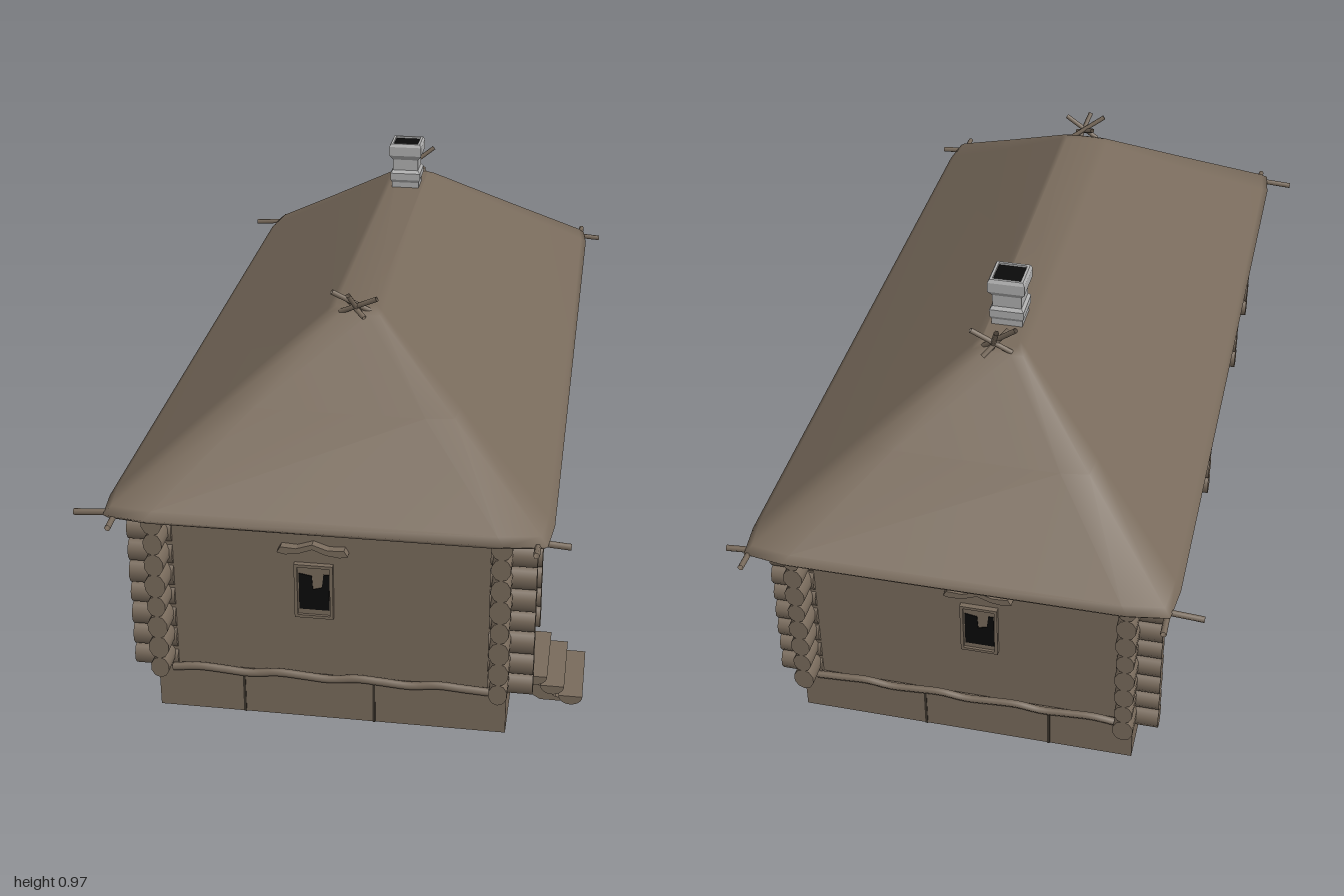
import * as THREE from 'three';

const CX = -0.008;      // house axis
const HX = 0.384, HZ = 0.868; // half size of the walls

export function createModel() {
  const house = new THREE.Group();
  house.name = 'logHouse';
  const mat = (name, color, side = THREE.FrontSide) => {
    const m = new THREE.MeshStandardMaterial({ color, side });
    m.name = name;
    return m;
  };
  const wood = mat('brown wood', 0x796b5c, THREE.DoubleSide);
  const black = mat('black', 0x0a0a0a, THREE.DoubleSide);
  const grey = mat('grey brick', 0xb0b0b0);
  const gap = mat('dark joint', 0x3a332b);

  const add = (name, geo, m, x = 0, y = 0, z = 0, parent = house) => {
    const mesh = new THREE.Mesh(geo, m);
    mesh.name = name;
    mesh.position.set(x, y, z);
    parent.add(mesh);
    return mesh;
  };
  const box = (name, w, h, d, m, x, y, z, parent) =>
    add(name, new THREE.BoxGeometry(w, h, d), m, x, y, z, parent);
  const shapeOf = pts => new THREE.Shape(pts.map(p => new THREE.Vector2(p[0], p[1])));
  const rect = (w, h) => [[-w, -h], [w, -h], [w, h], [-w, h]];
  const plate = (shape, depth) =>
    new THREE.ExtrudeGeometry(shape, { depth, bevelEnabled: false }).translate(0, 0, -depth / 2);
  const frame = (w, h, t, depth) => {
    const s = shapeOf(rect(w, h));
    s.holes.push(shapeOf(rect(w - t, h - t)));
    return plate(s, depth);
  };

  // Walls and foundation: open shells without a floor
  const shell = (name, hx, hz, y0, y1) => {
    const g = frame(hx, hz, 0.012, y1 - y0).rotateX(-Math.PI / 2);
    add(name, g, wood, CX, (y0 + y1) / 2, 0);
  };
  shell('foundation', 0.393, 0.883, 0, 0.108);
  shell('walls', HX, HZ, 0.1, 0.525);

  // Joints between the foundation slabs
  for (const s of [-1, 1]) {
    for (const x of [-0.205, 0.09]) box('slabJoint', 0.006, 0.1, 0.004, gap, x, 0.05, s * 0.883);
    for (const z of [0.59, 0.295, 0, -0.295, -0.59])
      box('slabJoint', 0.004, 0.1, 0.006, gap, CX + s * 0.393, 0.05, z);
  }

  // Stacks of projecting log ends
  const logStack = (name, x, z, alongX, length, y0) => {
    const group = new THREE.Group();
    group.name = name;
    const step = (0.525 - y0) / 8;
    for (let i = 0; i < 8; i++) {
      const r = 0.0225 + 0.0015 * Math.sin(i * 2.3 + z * 5);
      const g = new THREE.CylinderGeometry(r, r, length, 10).rotateX(Math.PI / 2).scale(1, 1.25, 1);
      if (alongX) g.rotateY(Math.PI / 2);
      add('logEnd', g, wood, 0, y0 + step * (i + 0.5), 0, group);
    }
    group.position.set(x, 0, z);
    house.add(group);
  };
  for (const s of [-1, 1]) {
    for (const z of [0.856, 0.58, -0.01, -0.856])
      logStack('crossWallLogs', CX + s * 0.4, z, true, 0.1, 0.092);
    for (const e of [-1, 1]) logStack('sideWallLogs', CX + s * 0.377, e * 0.88, false, 0.1, 0.105);
  }

  // Uneven poles along the eaves and the foot of the walls
  const pole = (name, a, b, r, wobble) => {
    const pts = [];
    for (let i = 0; i <= 12; i++) {
      const p = new THREE.Vector3(...a).lerp(new THREE.Vector3(...b), i / 12);
      p.y += wobble * Math.sin(i * 2.1 + a[0] * 3);
      pts.push(p);
    }
    const g = new THREE.TubeGeometry(new THREE.CatmullRomCurve3(pts), 36, r, 6);
    add(name, g, wood);
  };
  for (const s of [-1, 1]) {
    pole('eavePole', [-0.552, 0.522, s * 0.935], [0.513, 0.522, s * 0.935], 0.007, 0.004);
    pole('eavePole', [CX + s * 0.452, 0.522, 0.995], [CX + s * 0.465, 0.522, -0.998], 0.007, 0.004);
    pole('basePole', [CX - 0.36, 0.107, s * 0.882], [CX + 0.36, 0.107, s * 0.882], 0.009, 0.004);
    pole('basePole', [CX + s * 0.394, 0.107, 0.84], [CX + s * 0.394, 0.107, -0.84], 0.009, 0.004);
  }

  // Hipped thatch roof: bowed rectangular rings from the soffit up to the ridge
  const rings = [
    [0.38, 0.86, 0.524, 0.9], [0.475, 0.962, 0.517, 1], [0.483, 0.97, 0.527, 1],
    [0.468, 0.955, 0.542, 1], [0.26, 0.735, 0.693, 0.7], [0.062, 0.525, 0.838, 0.3], [0.045, 0.505, 0.848, 0.25],
  ];
  const pos = [], idx = [];
  for (const [hx, hz, y, k] of rings) {
    const c = 0.1 * k, b = 0.014 * k;
    const corner = [[hx, hz - c], [hx - b * 0.7, hz - b], [hx - c, hz]];
    for (const [sx, sz] of [[1, 1], [-1, 1], [-1, -1], [1, -1]]) {
      const run = sx * sz > 0 ? corner : [...corner].reverse();
      for (const [x, z] of run) pos.push(CX + sx * x, y, sz * z);
    }
  }
  const N = 12, last = (rings.length - 1) * N;
  for (let j = 0; j < rings.length - 1; j++)
    for (let i = 0; i < N; i++) {
      const a = j * N + i, b = j * N + (i + 1) % N;
      idx.push(a, a + N, b, b, a + N, b + N);
    }
  for (let i = 1; i < N - 1; i++) {
    idx.push(last, last + i + 1, last + i);
    idx.push(0, i, i + 1);
  }
  const roof = new THREE.BufferGeometry();
  roof.setAttribute('position', new THREE.Float32BufferAttribute(pos, 3));
  roof.setIndex(idx);
  roof.computeVertexNormals();
  add('thatchRoof', roof, wood);

  // Crossed sticks at both ends of the ridge
  const stick = (a, b) => {
    const path = new THREE.LineCurve3(new THREE.Vector3(...a), new THREE.Vector3(...b));
    add('ridgeStick', new THREE.TubeGeometry(path, 1, 0.006, 6), wood);
  };
  for (const [z, s, top] of [[0.525, 1, 0.895], [-0.525, -1, 0.915]]) {
    stick([-0.055, top, z + s * 0.01], [0.03, 0.84, z - s * 0.02]);
    stick([0.048, top - 0.01, z + s * 0.015], [-0.04, 0.84, z - s * 0.01]);
    stick([-0.015, top, z + s * 0.028], [0.008, 0.835, z - s * 0.015]);
    stick([-0.03, top - 0.025, z - s * 0.025], [0.02, 0.84, z + s * 0.02]);
  }

  // Chimney: square profile with two collars and a dark flue
  const profile = [[0.036, 0.8], [0.036, 0.862], [0.04, 0.87], [0.04, 0.888], [0.034, 0.896],
    [0.034, 0.925], [0.043, 0.938], [0.043, 0.962], [0.039, 0.97], [0.033, 0.97], [0.033, 0.955]];
  const square = new THREE.LatheGeometry(
    profile.map(([x, y]) => new THREE.Vector2(x * Math.SQRT2, y)), 4).rotateY(Math.PI / 4).toNonIndexed();
  square.computeVertexNormals();
  add('chimney', square, grey, CX, 0, -0.388);
  box('flue', 0.066, 0.006, 0.066, black, CX, 0.962, -0.388);

  // Windows with frame, ragged dark opening and carved visor
  const paneShape = shapeOf([[-0.033, -0.045], [0.034, -0.045], [0.034, 0.045], [0.022, 0.045],
    [0.018, 0.012], [-0.002, 0.006], [-0.004, 0.04], [-0.033, 0.045]]);
  const visorShape = shapeOf([[-0.078, -0.008], [-0.06, -0.012], [-0.03, -0.008], [0, 0.004], [0.03, -0.008],
    [0.06, -0.012], [0.078, -0.008], [0.07, 0.006], [0.035, 0.004], [0, 0.016], [-0.035, 0.004], [-0.07, 0.006]]);
  const makeWindow = (x, z, turn) => {
    const w = new THREE.Group();
    w.name = 'window';
    add('windowFrame', frame(0.043, 0.067, 0.007, 0.034), wood, 0, 0, 0, w);
    box('windowPane', 0.074, 0.122, 0.022, wood, 0, 0, 0, w);
    add('windowOpening', plate(paneShape, 0.026), black, 0, -0.002, 0, w);
    add('windowVisor', plate(visorShape, 0.024), wood, 0, 0.107, 0.012, w);
    w.position.set(x, 0.326, z);
    w.rotation.y = turn;
    house.add(w);
  };
  const wx = HX - 0.005, wz = HZ - 0.005;
  makeWindow(-0.043, wz, 0);
  makeWindow(-0.043, -wz, Math.PI);
  for (const z of [0.388, -0.685]) makeWindow(CX + wx, z, Math.PI / 2);
  for (const z of [0.388, -0.5]) makeWindow(CX - wx, z, -Math.PI / 2);

  // Door on the left side
  const door = new THREE.Group();
  door.name = 'door';
  add('doorFrame', frame(0.056, 0.118, 0.006, 0.026), wood, 0, 0, 0, door);
  box('doorLeaf', 0.1, 0.224, 0.018, wood, 0, 0, 0, door);
  box('doorHandle', 0.005, 0.028, 0.01, black, 0.038, -0.03, 0.012, door);
  add('doorSillGap', plate(shapeOf([[-0.045, -0.112], [0.015, -0.112], [-0.02, -0.092]]), 0.022), black, 0, 0, 0, door);
  door.position.set(CX + wx, 0.234, 0.7);
  door.rotation.y = Math.PI / 2;
  house.add(door);

  // Steps: half-log treads on two sloping stringers
  [[0.443, 0.09, 0.695], [0.482, 0.064, 0.69], [0.524, 0.037, 0.685]].forEach(([x, y, z]) => {
    const half = new THREE.Shape();
    half.absellipse(0, 0, 0.027, 0.022, Math.PI, 2 * Math.PI);
    add('stepTread', plate(half, 0.185), wood, x, y, z);
  });
  const stringer = shapeOf([[0.38, 0.09], [0.38, 0.06], [0.455, 0.014], [0.52, 0.014], [0.52, 0.024], [0.49, 0.024], [0.4, 0.09]]);
  for (const z of [0.63, 0.755]) add('stepStringer', plate(stringer, 0.02), wood, 0, 0, z);

  return house;
}
